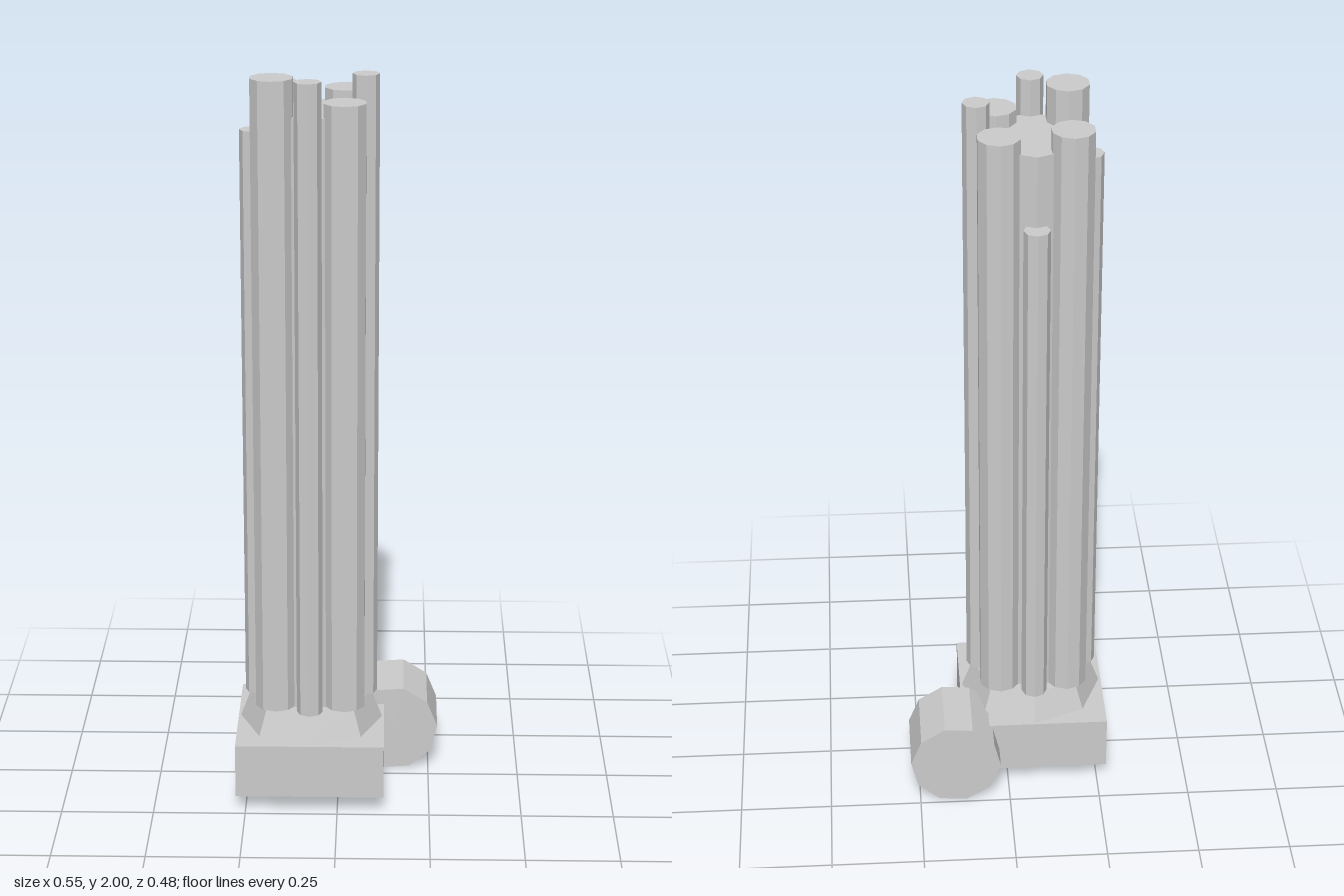
import * as THREE from 'three';

export function createModel() {
  const model = new THREE.Group();
  const material = new THREE.MeshStandardMaterial({ color: 0xcccccc, flatShading: true });
  const CX = -0.075, CZ = 0.036; // axis of the column

  function add(name, geometry, x, y, z, parent = model) {
    const mesh = new THREE.Mesh(geometry, material);
    mesh.name = name;
    mesh.position.set(x, y, z);
    parent.add(mesh);
    return mesh;
  }

  // Upright prism between two heights
  function post(name, x, z, radius, sides, bottom, top, parent, topRadius = radius) {
    const geometry = new THREE.CylinderGeometry(topRadius, radius, top - bottom, sides);
    return add(name, geometry, x, (bottom + top) / 2, z, parent);
  }

  // Square plinth and tapered octagonal collar
  add('plinth', new THREE.BoxGeometry(0.402, 0.15, 0.402), CX, 0.12, CZ);
  post('collar', CX, CZ, 0.195, 8, 0.195, 0.275, model, 0.165);

  // Bundle of pipes around an octagonal core
  const bundle = new THREE.Group();
  bundle.name = 'pipeBundle';
  model.add(bundle);
  post('core', CX, CZ, 0.134, 8, 0.275, 1.9, bundle);

  const largePipes = [[-1, 1, 2], [1, 1, 1.937], [1, -1, 1.94], [-1, -1, 1.955]];
  for (const [sx, sz, top] of largePipes) {
    post('largePipe', CX + sx * 0.093, CZ + sz * 0.093, 0.057, 10, 0.275, top, bundle);
  }

  const smallPipes = [[0, 1, 2], [1, 0, 1.993], [0, -1, 1.705], [-1, 0, 1.847]];
  for (const [sx, sz, top] of smallPipes) {
    post('smallPipe', CX + sx * 0.146, CZ + sz * 0.146, 0.035, 8, 0.275, top, bundle);
  }

  // Ten-sided drum lying along z at the back corner
  const drum = new THREE.CylinderGeometry(0.125, 0.125, 0.2, 10, 1, false, THREE.MathUtils.degToRad(22));
  drum.rotateX(Math.PI / 2);
  add('drum', drum, 0.15, 0.1213, -0.139);

  return model;
}
